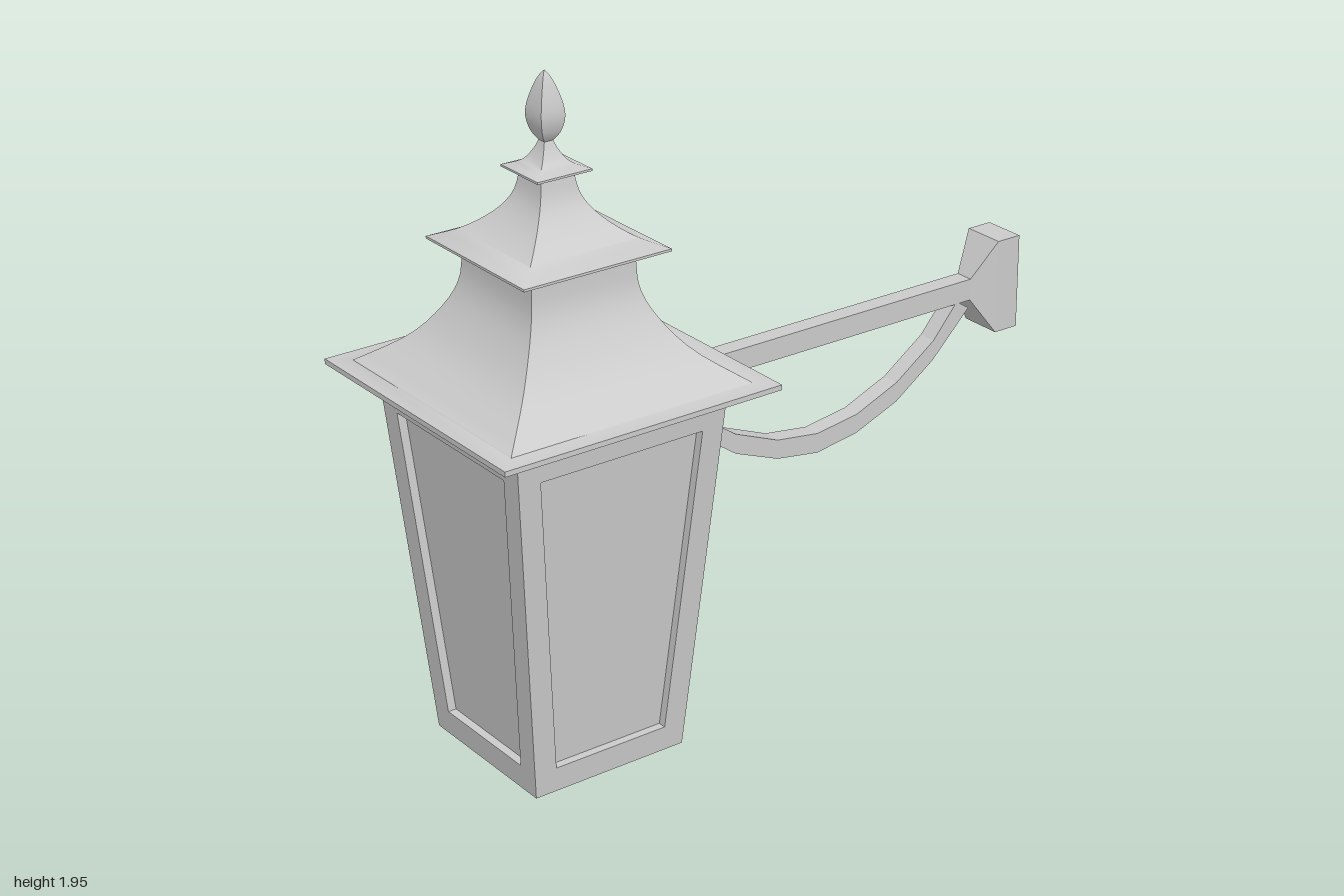
import * as THREE from 'three';
import { toCreasedNormals } from 'three/addons/utils/BufferGeometryUtils.js';

const LAMP_X = -0.567, ARM_Z = 0.035;
const material = new THREE.MeshStandardMaterial({ color: 0xcccccc, side: THREE.DoubleSide });

function add(parent, name, geometry) {
  const mesh = new THREE.Mesh(geometry, material);
  mesh.name = name;
  parent.add(mesh);
  return mesh;
}

// Flat-shaded skin through four-cornered rings; the last ring may be capped
function skin(rings, cap) {
  const pos = [];
  const quad = (a, b, c, d) => pos.push(...a, ...b, ...c, ...a, ...c, ...d);
  for (let r = 0; r < rings.length - 1; r++) {
    for (let i = 0; i < 4; i++) {
      const j = (i + 1) % 4;
      quad(rings[r][i], rings[r][j], rings[r + 1][j], rings[r + 1][i]);
    }
  }
  if (cap) quad(...rings[rings.length - 1]);
  const geo = new THREE.BufferGeometry();
  geo.setAttribute('position', new THREE.Float32BufferAttribute(pos, 3));
  geo.computeVertexNormals();
  return geo;
}

// Square turning: profile of [half width, height] swept round four sides
function squareTurn(profile) {
  const pts = profile.map(([w, y]) => new THREE.Vector2(w * Math.SQRT2, y));
  return toCreasedNormals(new THREE.LatheGeometry(pts, 4, Math.PI / 4), 0.7);
}

// Smooth run of profile points
function smooth(points, n = 14) {
  return new THREE.SplineCurve(points.map(p => new THREE.Vector2(...p)))
    .getPoints(n).map(p => [p.x, p.y]);
}

function buildBody() {
  const body = new THREE.Group();
  body.name = 'lanternBody';
  const H = 1.04, half = y => 0.243 + (0.33 - 0.243) * y / H;
  const ring = (y0, w0, y1, w1, depth) =>
    [[-w0, y0], [w0, y0], [w1, y1], [-w1, y1]].map(([x, y]) => [x, y, half(y) - depth]);
  // Framed side with its recessed pane
  const side = skin([
    ring(0, half(0), H, half(H), 0),
    ring(0.075, 0.18, 0.98, 0.257, 0),
    ring(0.075, 0.18, 0.98, 0.257, 0.025),
  ], true);
  for (let i = 0; i < 4; i++) add(body, 'sidePanel', side).rotation.y = i * Math.PI / 2;
  // Floor and top
  [[0, Math.PI / 2, 'floor'], [H, -Math.PI / 2, 'bodyTop']].forEach(([y, turn, name]) => {
    const plate = add(body, name, new THREE.PlaneGeometry(2 * half(y), 2 * half(y)));
    plate.rotation.x = turn;
    plate.position.y = y;
  });
  return body;
}

function buildRoof() {
  const roof = new THREE.Group();
  roof.name = 'roof';
  // Wide eave and lower bell
  add(roof, 'lowerRoof', squareTurn([
    [0.30, 1.04], [0.32, 1.06], [0.36, 1.085], [0.435, 1.09], [0.435, 1.105], [0.38, 1.106],
    ...smooth([[0.378, 1.108], [0.27, 1.19], [0.203, 1.28], [0.17, 1.36], [0.163, 1.445]]),
  ]));
  // Second tier
  add(roof, 'upperRoof', squareTurn([
    [0.163, 1.44], [0.19, 1.455], [0.23, 1.466], [0.23, 1.473],
    ...smooth([[0.225, 1.475], [0.16, 1.505], [0.1, 1.555], [0.064, 1.61], [0.05, 1.675]]),
  ]));
  // Small collar under the finial
  add(roof, 'collar', squareTurn([
    [0.05, 1.67], [0.085, 1.677], [0.085, 1.683],
    ...smooth([[0.08, 1.685], [0.045, 1.7], [0.024, 1.73], [0.013, 1.758]], 8),
  ]));
  add(roof, 'finial', squareTurn(
    smooth([[0.013, 1.755], [0.028, 1.78], [0.037, 1.82], [0.032, 1.865], [0.015, 1.92], [0, 1.945]], 16)));
  return roof;
}

function buildBracket() {
  const bracket = new THREE.Group();
  bracket.name = 'wallBracket';
  bracket.position.z = ARM_Z;
  const rect = (x, y0, y1, w) => [[x, y0, w], [x, y0, -w], [x, y1, -w], [x, y1, w]];
  // Hollow arm and flared wall mount, open at the wall
  add(bracket, 'arm', skin([rect(-0.26, 0.973, 1.038, 0.028), rect(0.85, 0.973, 1.038, 0.028)]));
  add(bracket, 'wallMount', skin([
    rect(0.85, 0.973, 1.038, 0.028), rect(0.92, 0.866, 1.15, 0.065), rect(1, 0.866, 1.15, 0.065),
  ]));
  // Curved brace: half outlines mirrored about its lowest point
  const outer = [[0, 0.645], [0.143, 0.667], [0.29, 0.725], [0.425, 0.82], [0.555, 0.95]];
  const inner = [[0, 0.705], [0.143, 0.725], [0.29, 0.785], [0.425, 0.88], [0.51, 0.98]];
  const full = h => [...h.slice(1).reverse().map(([d, y]) => [-d, y]), ...h];
  const outline = [...full(outer), ...full(inner).reverse()];
  const shape = new THREE.Shape(outline.map(([d, y]) => new THREE.Vector2(0.29 + d, y)));
  const brace = new THREE.ExtrudeGeometry(shape, { depth: 0.056, bevelEnabled: false });
  add(bracket, 'curvedBrace', brace.translate(0, 0, -0.028));
  return bracket;
}

export function createModel() {
  const model = new THREE.Group();
  model.name = 'wallLantern';
  const lantern = new THREE.Group();
  lantern.name = 'lantern';
  lantern.position.x = LAMP_X;
  lantern.add(buildBody(), buildRoof());
  model.add(lantern, buildBracket());
  return model;
}
